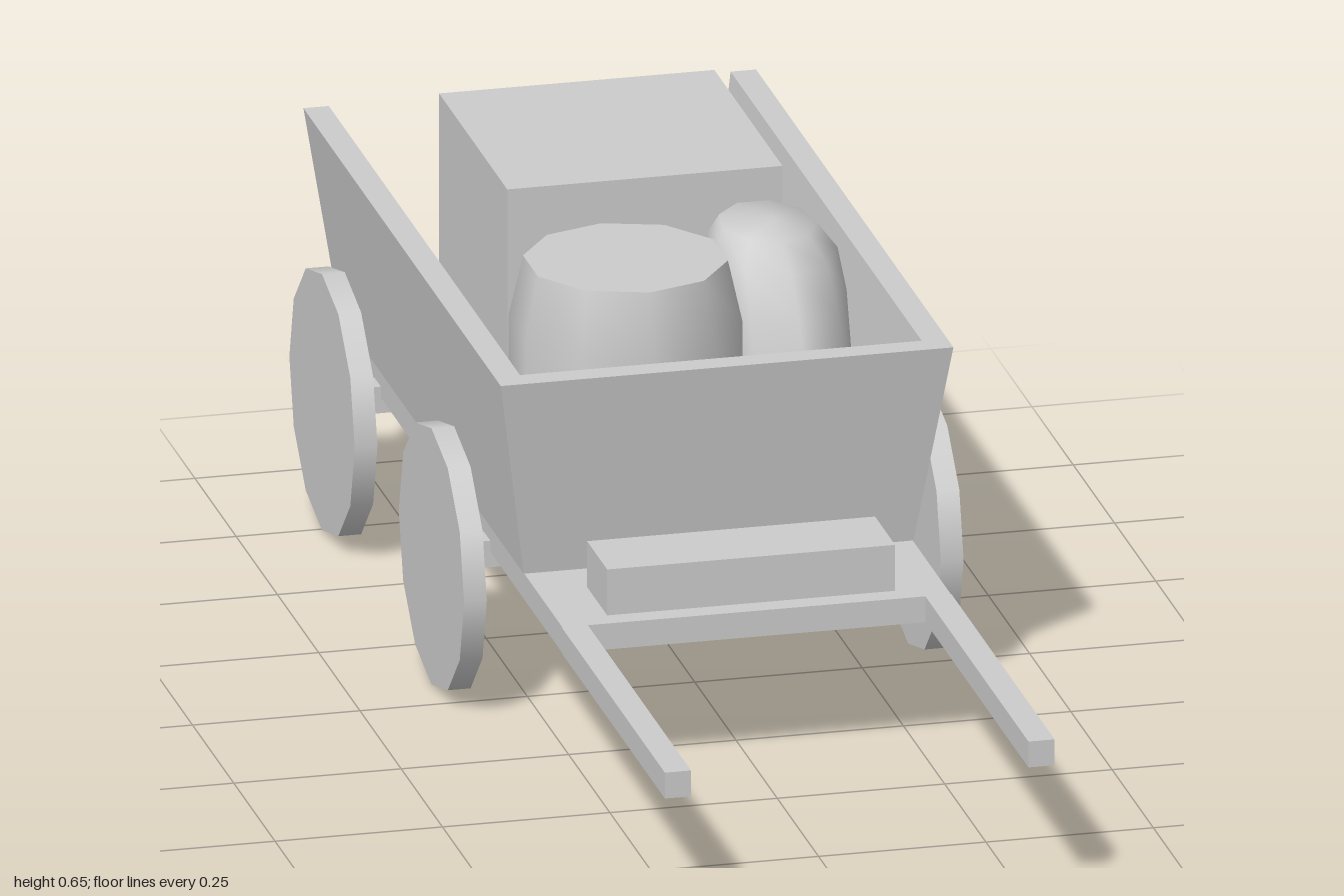
import * as THREE from 'three';
import { mergeVertices } from 'three/addons/utils/BufferGeometryUtils.js';

export function createModel() {
  const cart = new THREE.Group();
  cart.name = 'handCart';
  const grey = new THREE.MeshStandardMaterial({ color: 0xcccccc });
  grey.name = 'plainGrey';

  function add(name, geometry) {
    const mesh = new THREE.Mesh(geometry, grey);
    mesh.name = name;
    cart.add(mesh);
    return mesh;
  }

  // Straight block given by its limits on each axis
  function block(name, x0, x1, y0, y1, z0, z1) {
    const g = new THREE.BoxGeometry(x1 - x0, y1 - y0, z1 - z0);
    g.translate((x0 + x1) / 2, (y0 + y1) / 2, (z0 + z1) / 2);
    return add(name, g);
  }

  // Sloping board: bottom and top rectangles [x0, x1, z0, z1]
  function board(name, y0, y1, bottom, top) {
    const g = new THREE.BoxGeometry(1, 1, 1);
    const p = g.attributes.position;
    for (let i = 0; i < p.count; i++) {
      const r = p.getY(i) > 0 ? top : bottom;
      p.setXYZ(i, p.getX(i) > 0 ? r[1] : r[0], p.getY(i) > 0 ? y1 : y0, p.getZ(i) > 0 ? r[3] : r[2]);
    }
    g.computeVertexNormals();
    return add(name, g);
  }

  // Floor, footboard and seat
  block('floor', -0.29, 0.29, 0.205, 0.245, -0.967, 0.375);
  block('seat', -0.215, 0.215, 0.245, 0.316, 0.22, 0.342);

  // Flared walls, open at the back
  board('leftWall', 0.245, 0.558, [0.255, 0.291, -0.97, 0.144], [0.3, 0.338, -1, 0.196]);
  board('rightWall', 0.245, 0.558, [-0.291, -0.255, -0.97, 0.144], [-0.338, -0.3, -1, 0.196]);
  board('frontWall', 0.245, 0.558, [-0.255, 0.255, 0.106, 0.144], [-0.3, 0.3, 0.158, 0.196]);

  // Shafts
  for (const s of [-1, 1]) {
    const a = s * 0.252, b = s * 0.291;
    block(s > 0 ? 'leftShaft' : 'rightShaft', Math.min(a, b), Math.max(a, b), 0.205, 0.245, 0.375, 1);
  }

  // Axles and wheels
  for (const [end, z] of [['front', -0.082], ['rear', -0.745]]) {
    block(end + 'Axle', -0.338, 0.338, 0.181, 0.222, z - 0.02, z + 0.02);
    for (const s of [-1, 1]) {
      const wheel = add(end + (s > 0 ? 'LeftWheel' : 'RightWheel'),
        new THREE.CylinderGeometry(0.198, 0.198, 0.034, 12).rotateZ(Math.PI / 2));
      wheel.position.set(s * 0.356, 0.198, z);
    }
  }

  // Crate
  block('crate', -0.193, 0.218, 0.245, 0.652, -0.766, -0.353);

  // Barrel with a flat lid
  const stave = [[0.149, 0.245], [0.17, 0.345], [0.17, 0.545], [0.149, 0.638]];
  const barrel = add('barrel', new THREE.LatheGeometry(stave.map(([r, y]) => new THREE.Vector2(r, y)), 10));
  barrel.position.set(-0.086, 0, -0.071);
  const lid = add('barrelLid', new THREE.CircleGeometry(0.149, 10).rotateX(-Math.PI / 2).rotateY(Math.PI / 2));
  lid.position.set(-0.086, 0.638, -0.071);

  // Leaning sack: rings of centre x, centre z, radius x, radius z, height
  const rings = [
    [0.16, -0.12, 0, 0, 0.245], [0.16, -0.12, 0.075, 0.115, 0.247],
    [0.163, -0.115, 0.092, 0.148, 0.3], [0.163, -0.13, 0.1, 0.16, 0.42],
    [0.163, -0.175, 0.102, 0.15, 0.53], [0.16, -0.19, 0.096, 0.128, 0.59],
    [0.155, -0.19, 0.07, 0.092, 0.63], [0.16, -0.17, 0, 0, 0.643],
  ];
  const sides = 9;
  let sack = new THREE.LatheGeometry(rings.map((r) => new THREE.Vector2(1, r[4])), sides);
  const p = sack.attributes.position;
  for (let i = 0; i < p.count; i++) {
    const [cx, cz, rx, rz] = rings[i % rings.length];
    p.setX(i, cx + p.getX(i) * rx);
    p.setZ(i, cz + p.getZ(i) * rz);
  }
  sack.deleteAttribute('uv');
  sack.deleteAttribute('normal');
  sack = mergeVertices(sack, 1e-4);
  sack.computeVertexNormals();
  add('sack', sack);

  return cart;
}
